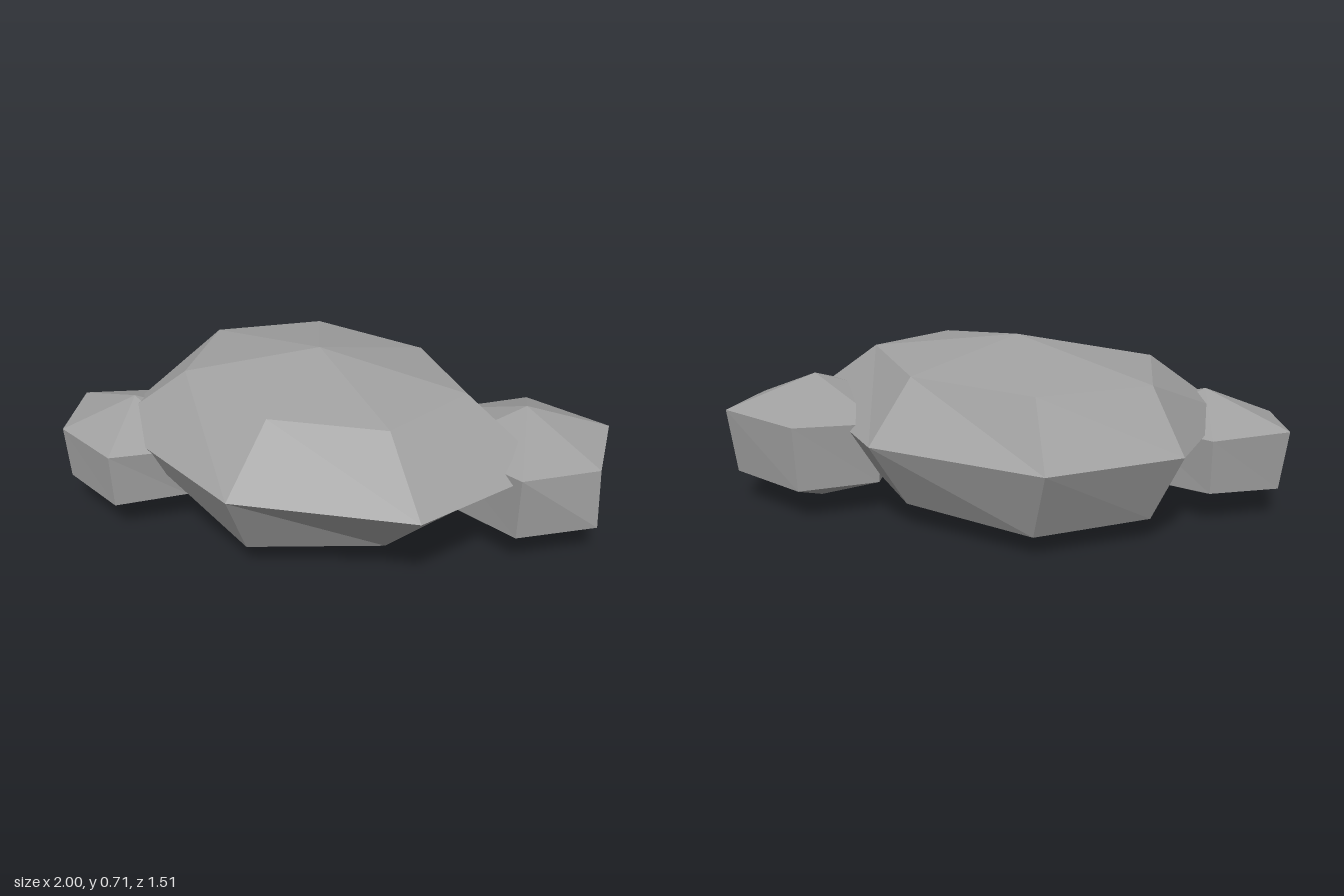
import * as THREE from 'three';

// Faceted boulder: bottom tip, rings of [x, y, z] from low to high, top tip.
// Rings run clockwise as seen from above.
function boulder(name, bottom, rings, top, material) {
  const n = rings[0].length;
  const pos = [];
  const tri = (a, b, c) => pos.push(...a, ...b, ...c);
  for (let i = 0; i < n; i++) {
    const j = (i + 1) % n;
    tri(bottom, rings[0][i], rings[0][j]);
    for (let k = 0; k < rings.length - 1; k++) {
      const lo = rings[k], hi = rings[k + 1];
      tri(lo[i], hi[i], hi[j]);
      tri(lo[i], hi[j], lo[j]);
    }
    const last = rings[rings.length - 1];
    tri(top, last[j], last[i]);
  }
  const g = new THREE.BufferGeometry();
  g.setAttribute('position', new THREE.Float32BufferAttribute(pos, 3));
  g.computeVertexNormals();
  const mesh = new THREE.Mesh(g, material);
  mesh.name = name;
  return mesh;
}

export function createModel() {
  const group = new THREE.Group();
  group.name = 'rockCluster';
  const stone = new THREE.MeshStandardMaterial({ color: 0xa0a0a0, flatShading: true });
  stone.name = 'grey stone';

  // Large seven-sided boulder
  group.add(boulder('largeRock', [-0.06, 0.03, -0.01], [
    [[-0.70, 0.10, -0.02], [-0.45, 0.09, -0.41], [0.09, 0.11, -0.50], [0.51, 0.11, -0.24],
      [0.49, 0.13, 0.20], [0.08, 0.09, 0.53], [-0.46, 0.11, 0.40]],
    [[-0.83, 0.37, -0.02], [-0.56, 0.37, -0.49], [0.13, 0.37, -0.65], [0.83, 0.37, -0.34],
      [0.73, 0.37, 0.29], [0.14, 0.37, 0.67], [-0.68, 0.37, 0.59]],
    [[-0.68, 0.61, -0.01], [-0.44, 0.61, -0.39], [0.08, 0.61, -0.47], [0.51, 0.62, -0.23],
      [0.49, 0.61, 0.19], [0.07, 0.585, 0.40], [-0.44, 0.61, 0.37]],
  ], [-0.06, 0.71, -0.01], stone));

  // Small six-sided boulder at the front
  group.add(boulder('frontSmallRock', [-0.63, 0.03, 0.49], [
    [[-0.97, 0.13, 0.49], [-0.80, 0.14, 0.25], [-0.46, 0.13, 0.24],
      [-0.32, 0.14, 0.49], [-0.47, 0.13, 0.74], [-0.79, 0.14, 0.73]],
    [[-1.00, 0.37, 0.49], [-0.81, 0.36, 0.23], [-0.46, 0.36, 0.23],
      [-0.28, 0.36, 0.49], [-0.46, 0.355, 0.755], [-0.80, 0.355, 0.74]],
  ], [-0.63, 0.48, 0.49], stone));

  // Small six-sided boulder at the back
  group.add(boulder('backSmallRock', [0.63, 0, -0.46], [
    [[0.28, 0.14, -0.46], [0.45, 0.14, -0.73], [0.82, 0.14, -0.73],
      [1.00, 0.14, -0.45], [0.82, 0.14, -0.17], [0.46, 0.14, -0.18]],
    [[0.25, 0.39, -0.46], [0.44, 0.405, -0.75], [0.83, 0.405, -0.76],
      [0.985, 0.385, -0.45], [0.84, 0.405, -0.145], [0.45, 0.405, -0.16]],
  ], [0.63, 0.53, -0.46], stone));

  return group;
}
